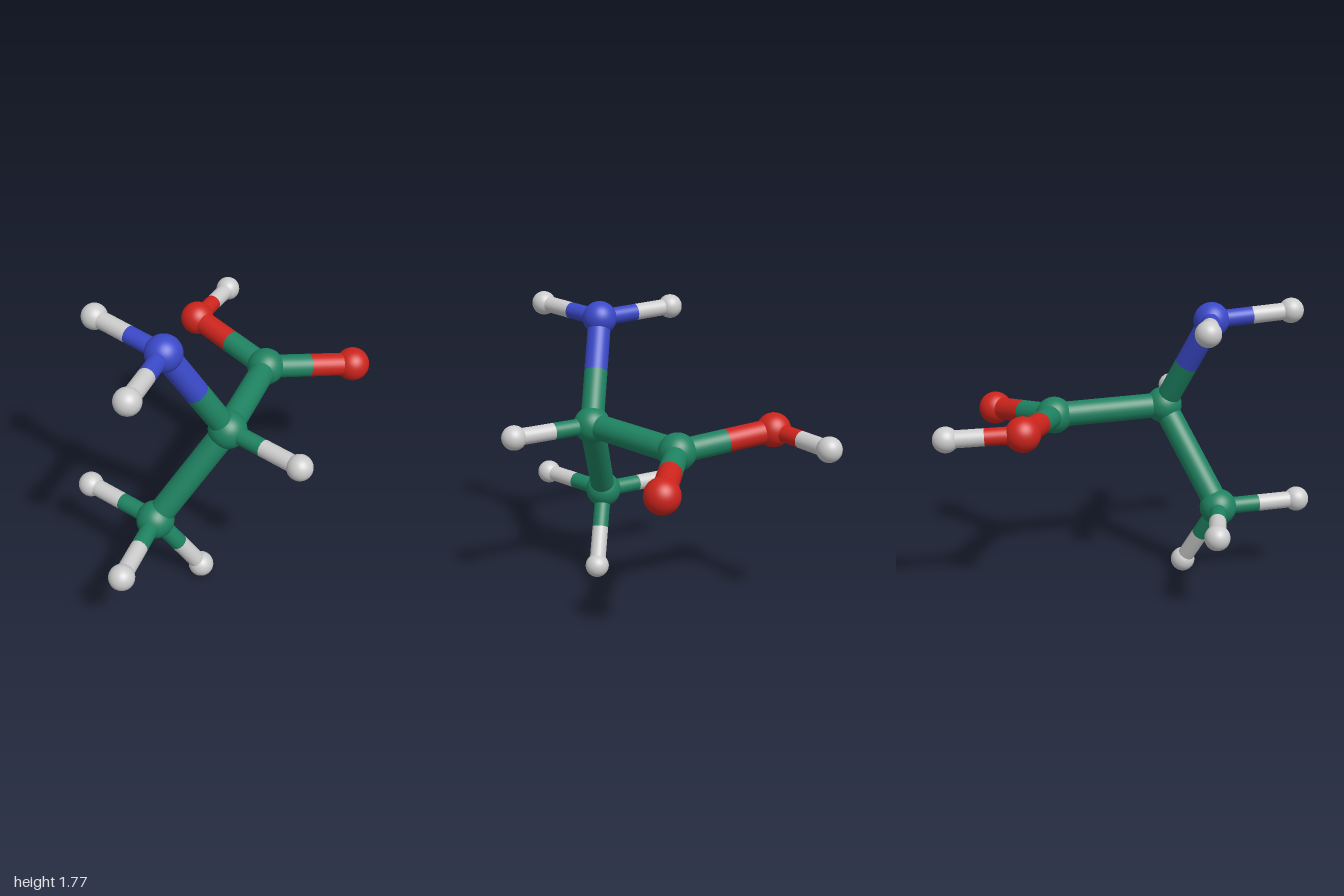
import * as THREE from 'three';

// Atom kinds: radius and colour
const KINDS = {
  carbon: { radius: 0.112, color: 0x1e8261 },
  nitrogen: { radius: 0.105, color: 0x3a49c8 },
  oxygen: { radius: 0.103, color: 0xcc241c },
  hydrogen: { radius: 0.075, color: 0xcccccc },
};

// Atom kind and centre
const ATOMS = {
  centralCarbon: ['carbon', -0.14, 1.075, 0.435],
  acidCarbon: ['carbon', 0.35, 1.05, -0.05],
  methylCarbon: ['carbon', -0.572, 0.505, 0.37],
  amineNitrogen: ['nitrogen', -0.488, 1.66, 0.375],
  doubleOxygen: ['oxygen', 0.894, 0.982, 0.068],
  hydroxylOxygen: ['oxygen', 0.158, 1.114, -0.63],
  hydroxylHydrogen: ['hydrogen', 0.5, 1.095, -0.895],
  centralHydrogen: ['hydrogen', 0.075, 1.066, 0.893],
  amineHydrogenFront: ['hydrogen', -0.834, 1.694, 0.73],
  amineHydrogenBack: ['hydrogen', -0.706, 1.688, -0.075],
  methylHydrogenFront: ['hydrogen', -0.927, 0.515, 0.735],
  methylHydrogenBack: ['hydrogen', -0.802, 0.508, -0.08],
  methylHydrogenBottom: ['hydrogen', -0.306, 0.078, 0.42],
};

const BONDS = [
  ['centralCarbon', 'acidCarbon'],
  ['centralCarbon', 'methylCarbon'],
  ['centralCarbon', 'amineNitrogen'],
  ['centralCarbon', 'centralHydrogen'],
  ['acidCarbon', 'doubleOxygen'],
  ['acidCarbon', 'hydroxylOxygen'],
  ['hydroxylOxygen', 'hydroxylHydrogen'],
  ['amineNitrogen', 'amineHydrogenFront'],
  ['amineNitrogen', 'amineHydrogenBack'],
  ['methylCarbon', 'methylHydrogenFront'],
  ['methylCarbon', 'methylHydrogenBack'],
  ['methylCarbon', 'methylHydrogenBottom'],
];

const BOND_RATIO = 0.68; // bond radius relative to the smaller atom

export function createModel() {
  const group = new THREE.Group();
  group.name = 'molecule';

  const materials = {};
  for (const kind in KINDS) {
    materials[kind] = new THREE.MeshStandardMaterial({ color: KINDS[kind].color });
  }

  // Atoms as smooth balls
  const atoms = {};
  for (const [name, [kind, x, y, z]] of Object.entries(ATOMS)) {
    const ball = new THREE.Mesh(new THREE.SphereGeometry(KINDS[kind].radius, 40, 28), materials[kind]);
    ball.name = name;
    ball.position.set(x, y, z);
    group.add(ball);
    atoms[name] = { kind, position: ball.position, radius: KINDS[kind].radius };
  }

  // Half a bond, from an atom centre to the bond's midpoint
  const up = new THREE.Vector3(0, 1, 0);
  function halfBond(atom, middle, radius, name) {
    const along = middle.clone().sub(atom.position);
    const rod = new THREE.Mesh(
      new THREE.CylinderGeometry(radius, radius, along.length(), 32, 1, true),
      materials[atom.kind]
    );
    rod.name = name;
    rod.position.copy(atom.position).addScaledVector(along, 0.5);
    rod.quaternion.setFromUnitVectors(up, along.normalize());
    return rod;
  }

  // Bonds, each half in the colour of its own atom
  for (const [from, to] of BONDS) {
    const a = atoms[from], b = atoms[to];
    const middle = a.position.clone().lerp(b.position, 0.5);
    const radius = BOND_RATIO * Math.min(a.radius, b.radius);
    const bond = new THREE.Group();
    bond.name = `${from} to ${to} bond`;
    bond.add(halfBond(a, middle, radius, `${from} bondHalf`), halfBond(b, middle, radius, `${to} bondHalf`));
    group.add(bond);
  }

  return group;
}
